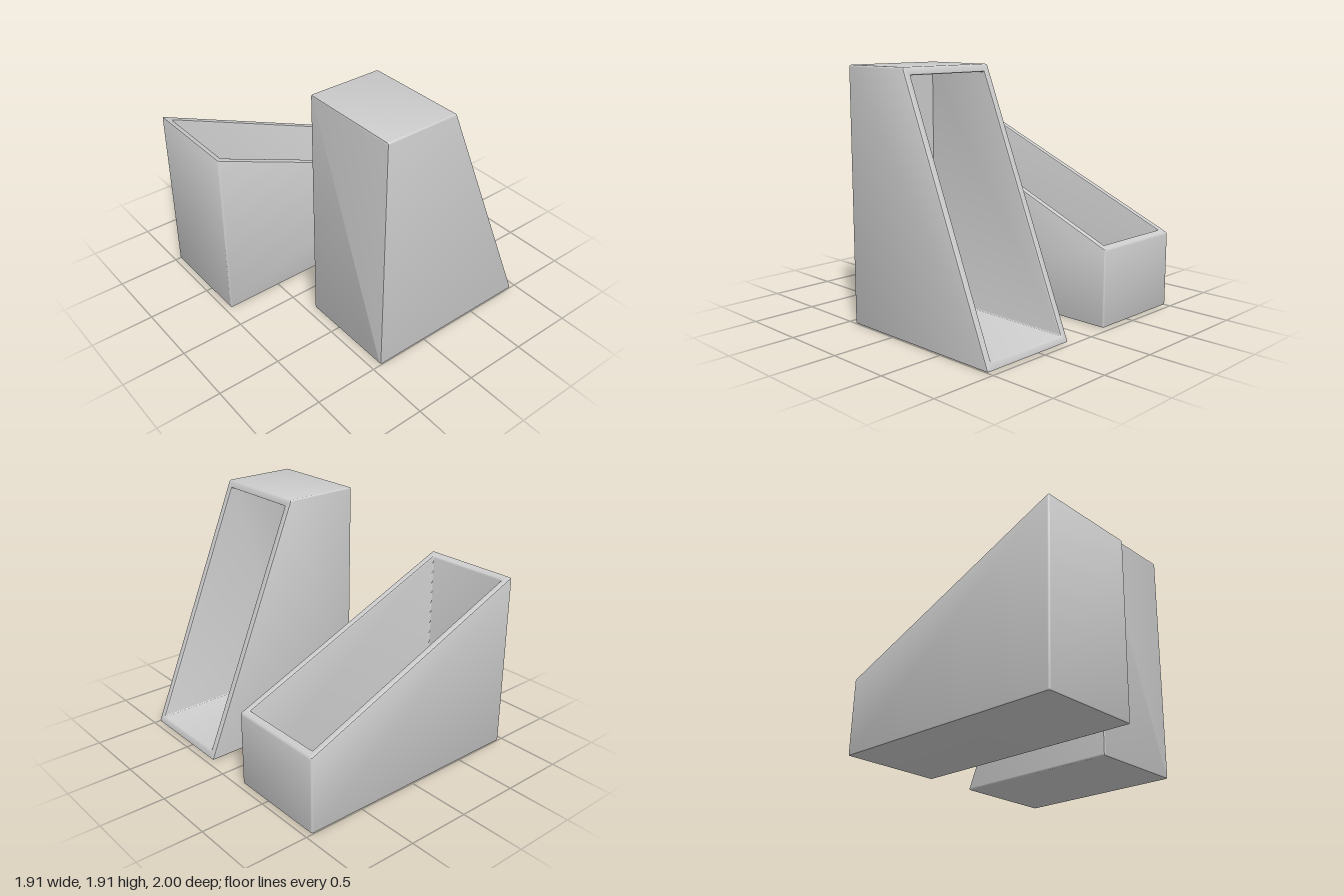
import * as THREE from 'three';
import { toCreasedNormals } from 'three/addons/utils/BufferGeometryUtils.js';

const LENGTH = 1.91, WIDTH = 0.8, TALL = 1.385, SHORT = 0.59, WALL = 0.055, ROUND = 0.014;
const ARC = 3; // segments per rounded corner

// Height of the sloping rim at a distance u from the tall end
const rim = (u) => TALL + (SHORT - TALL) * u / LENGTH;

// Rounded rectangle in the ground plane, inset from the outer walls
function ring(inset, height) {
  const r = Math.max(0.008, ROUND - inset);
  const hu = LENGTH / 2 - inset - r, hz = WIDTH / 2 - inset - r;
  const points = [];
  [[1, 1], [-1, 1], [-1, -1], [1, -1]].forEach(([su, sz], corner) => {
    for (let k = 0; k <= ARC; k++) {
      const a = (corner + k / ARC) * Math.PI / 2;
      const u = LENGTH / 2 + su * hu + r * Math.cos(a);
      points.push([u, height(u), sz * hz + r * Math.sin(a)]);
    }
  });
  return points;
}

// Open box lofted from the base, up the outside, over the rim and down to the floor
function holderGeometry() {
  const e = ROUND, s = ROUND * 0.29;
  const rings = [
    ring(e, () => 0), ring(s, () => s), ring(0, () => e),
    ring(0, (u) => rim(u) - e), ring(s, (u) => rim(u) - s), ring(e, rim),
    ring(WALL - e, rim), ring(WALL - s, (u) => rim(u) - s), ring(WALL, (u) => rim(u) - e),
    ring(WALL, () => WALL),
  ];
  const n = rings[0].length, last = (rings.length - 1) * n, index = [];
  for (let i = 0; i < rings.length - 1; i++) {
    for (let j = 0; j < n; j++) {
      const a = i * n + j, b = i * n + (j + 1) % n;
      index.push(a, a + n, b, b, a + n, b + n);
    }
  }
  // underside and inner floor
  for (let j = 1; j < n - 1; j++) {
    index.push(0, j, j + 1, last, last + j + 1, last + j);
  }
  const geometry = new THREE.BufferGeometry();
  geometry.setAttribute('position', new THREE.Float32BufferAttribute(rings.flat(2), 3));
  geometry.setIndex(index);
  return toCreasedNormals(geometry, 0.6);
}

export function createModel() {
  const group = new THREE.Group();
  group.name = 'magazineHolders';
  const material = new THREE.MeshStandardMaterial({ color: 0xcccccc });
  const geometry = holderGeometry();

  // Holder lying on its long side, opening upward
  const lying = new THREE.Mesh(geometry, material);
  lying.name = 'lyingHolder';
  lying.position.set(-0.957, 0, -0.6);
  group.add(lying);

  // The same holder stood on end, opening toward +x
  const upright = new THREE.Mesh(geometry, material);
  upright.name = 'uprightHolder';
  upright.rotation.set(0, Math.PI, Math.PI / 2);
  upright.position.set(-0.43, 0, 0.6);
  group.add(upright);

  return group;
}
